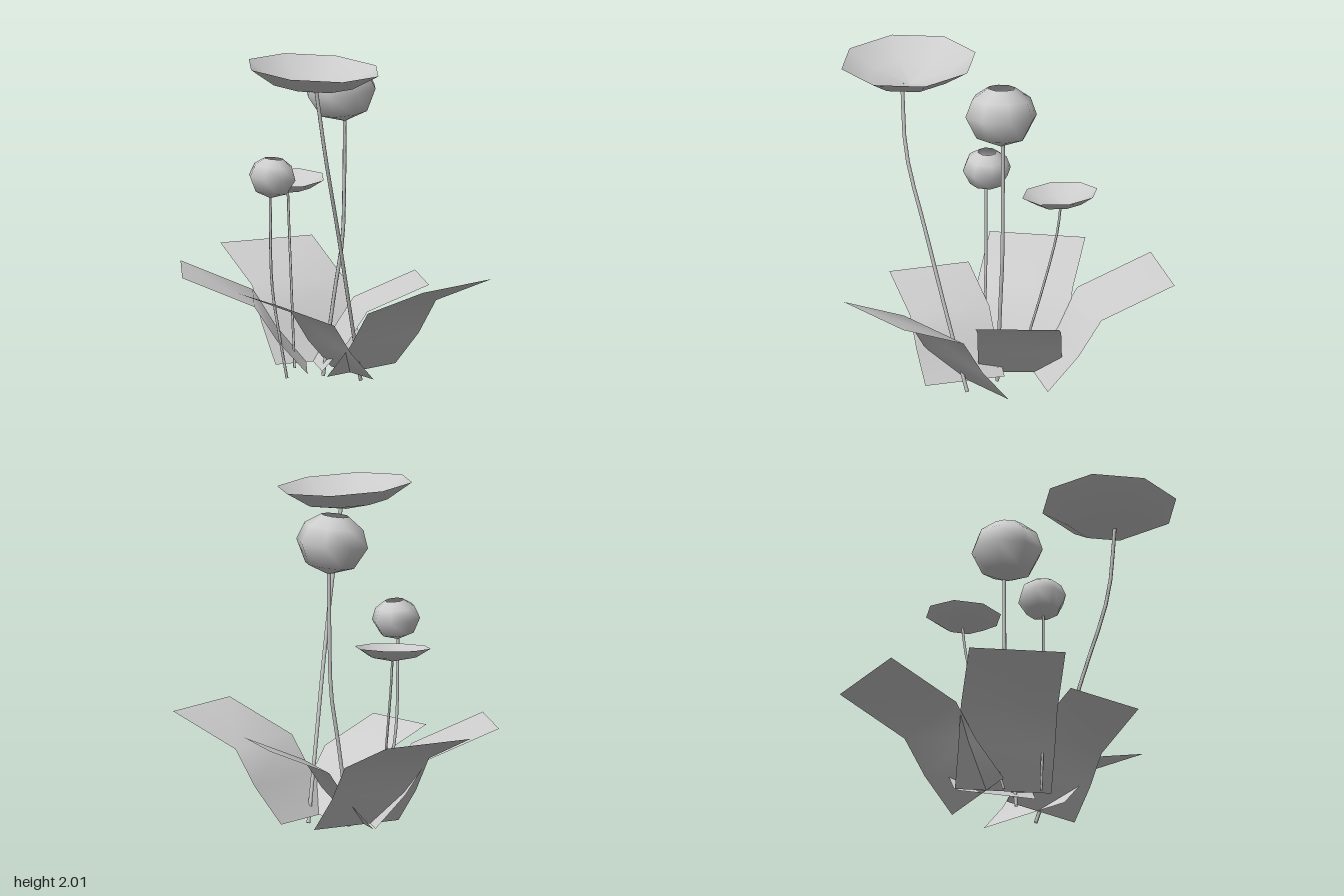
import * as THREE from 'three';

const V = (x, y, z) => new THREE.Vector3(x, y, z);

export function createModel() {
  const model = new THREE.Group();
  const grey = new THREE.MeshStandardMaterial({ color: 0xcccccc, side: THREE.DoubleSide });
  grey.name = 'plain grey';

  const add = (name, geometry) => {
    const mesh = new THREE.Mesh(geometry, grey);
    mesh.name = name;
    model.add(mesh);
    return mesh;
  };

  // Leaf: a sheet bent along [outward, up] steps, width 0.605 at full size
  const bend = [[0, 0], [0.19, 0.21], [0.33, 0.425], [0.78, 0.61]];
  const leaf = (name, tipX, tipZ, angle, size) => {
    const geometry = new THREE.PlaneGeometry(0.605, 1, 1, 3);
    const p = geometry.attributes.position;
    for (let i = 0; i < p.count; i++) {
      const [out, up] = bend[Math.floor(i / 2)];
      p.setXYZ(i, p.getX(i), up, out - 0.78);
    }
    geometry.computeVertexNormals();
    const mesh = add(name, geometry);
    mesh.scale.setScalar(size);
    mesh.rotation.y = THREE.MathUtils.degToRad(angle);
    mesh.position.set(tipX, 0.053, tipZ);
  };
  leaf('backLeaf', 0.135, -1, 180, 1);
  leaf('frontLeaf', 0.52, 0.875, 22.4, 1);
  leaf('backRightLeaf', -0.69, -0.432, -114, 0.96);
  leaf('leftLeaf', 0.683, 0.028, 74.5, 0.83);
  leaf('rightLeaf', -0.51, 0.28, -84.3, 0.83);

  // Stems: thin tubes from the ground to each flower
  const stem = (name, radius, points) => {
    const curve = new THREE.CatmullRomCurve3(points.map((q) => V(...q)));
    add(name, new THREE.TubeGeometry(curve, 12, radius, 5));
  };
  stem('tallOpenFlowerStem', 0.012,
    [[0.19, 0.005, 0.215], [0.075, 0.45, 0.31], [-0.05, 0.95, 0.41], [-0.175, 1.43, 0.502], [-0.24, 1.84, 0.51]]);
  stem('tallBudStem', 0.012,
    [[0.045, 0.005, -0.005], [0.125, 0.54, -0.005], [0.172, 0.82, -0.005], [0.185, 1.2, -0.005], [0.188, 1.56, -0.005]]);
  stem('smallBudStem', 0.009,
    [[-0.205, 0.015, 0.02], [-0.245, 0.26, 0.005], [-0.287, 0.58, -0.015], [-0.297, 1.12, -0.02]]);
  stem('smallOpenFlowerStem', 0.008,
    [[-0.07, 0.035, -0.16], [-0.03, 0.5, -0.29], [-0.003, 0.9, -0.385], [0, 1.07, -0.405]]);

  // Flower heads: eight-sided lathes leaning along an axis
  const head = (name, profile, size, centre, axis) => {
    const points = profile.map(([r, y]) => new THREE.Vector2(r, y));
    const mesh = add(name, new THREE.LatheGeometry(points, 8));
    mesh.scale.setScalar(size);
    mesh.position.set(...centre);
    mesh.quaternion.setFromUnitVectors(V(0, 1, 0), V(...axis).normalize());
  };
  // Shallow open bowls, origin at the rim
  const bowl = [[0, -0.15], [0.255, -0.1], [0.413, 0]];
  head('tallOpenFlower', bowl, 1, [-0.24, 1.982, 0.472], [0.045, 1, 0.045]);
  head('smallOpenFlower', bowl, 0.56, [-0.005, 1.145, -0.402], [-0.05, 1, 0.05]);
  // Round buds with a small opening on top
  const bud = [[0, -0.185], [0.15, -0.13], [0.22, 0.003], [0.18, 0.11], [0.085, 0.175]];
  head('tallBud', bud, 1, [0.163, 1.73, 0], [-0.11, 1, -0.04]);
  head('smallBud', bud, 0.67, [-0.283, 1.233, -0.02], [0.1, 1, 0]);

  return model;
}
